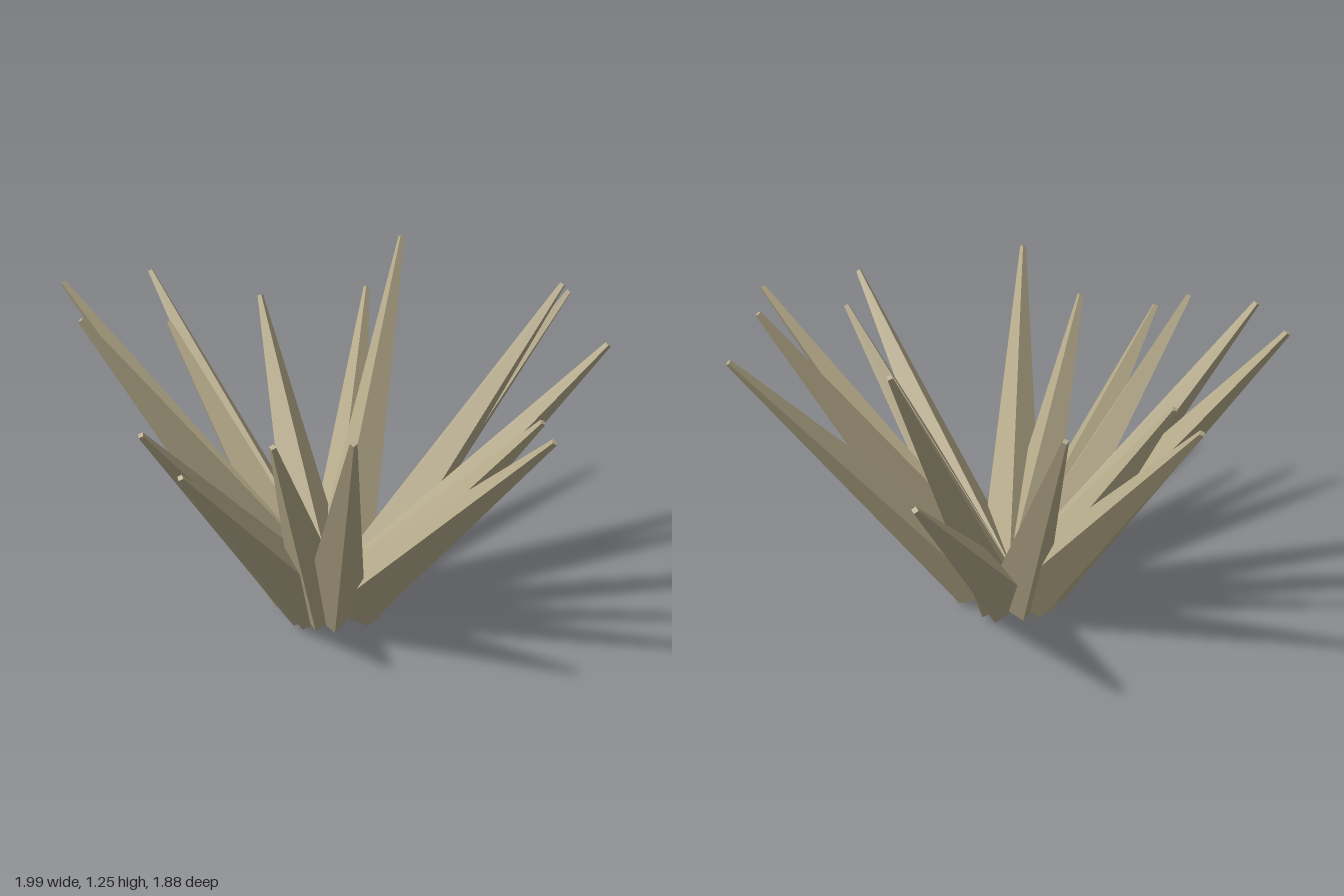
import * as THREE from 'three';

export function createModel() {
  const group = new THREE.Group();
  group.name = 'spikyPlant';
  const leafColour = new THREE.MeshStandardMaterial({ color: 0xb5aa8a, flatShading: true });
  leafColour.name = 'dry leaf';

  // Leaf tips as x, y, z, going around the rosette
  const tips = [
    [0, 0.935, 0.925], [0.2, 1.0, 0.695], [0.53, 1.11, 0.74], [0.985, 1.035, 0.255],
    [0.845, 0.99, 0.04], [0.91, 1.16, -0.325], [0.595, 1.23, -0.63], [0.535, 1.13, -0.83],
    [-0.155, 1.25, -0.76], [-0.415, 0.94, -0.935], [-0.59, 1.03, -0.41], [-0.985, 1.115, -0.225],
    [-0.72, 1.03, 0.015], [-0.925, 1.25, 0.36], [-0.67, 1.225, 0.575], [-0.175, 1.03, 0.895],
  ];
  const centreZ = 0.02, ringRadius = 0.11, ringHeight = 0.092;

  // Each leaf is a four-sided tapering spike with a ridge facing the centre
  for (const [x, y, z] of tips) {
    const azimuth = Math.atan2(x, z - centreZ);
    const reach = Math.hypot(x, z - centreZ) - ringRadius;
    const rise = y - ringHeight;
    const length = Math.hypot(reach, rise);
    const geometry = new THREE.CylinderGeometry(0.012, 0.12, length, 4);
    geometry.translate(0, length / 2, 0);
    const leaf = new THREE.Mesh(geometry, leafColour);
    leaf.name = 'leaf';
    leaf.position.set(Math.sin(azimuth) * ringRadius, ringHeight, centreZ + Math.cos(azimuth) * ringRadius);
    leaf.rotation.set(Math.atan2(reach, rise), azimuth, 0, 'YXZ');
    group.add(leaf);
  }
  return group;
}
